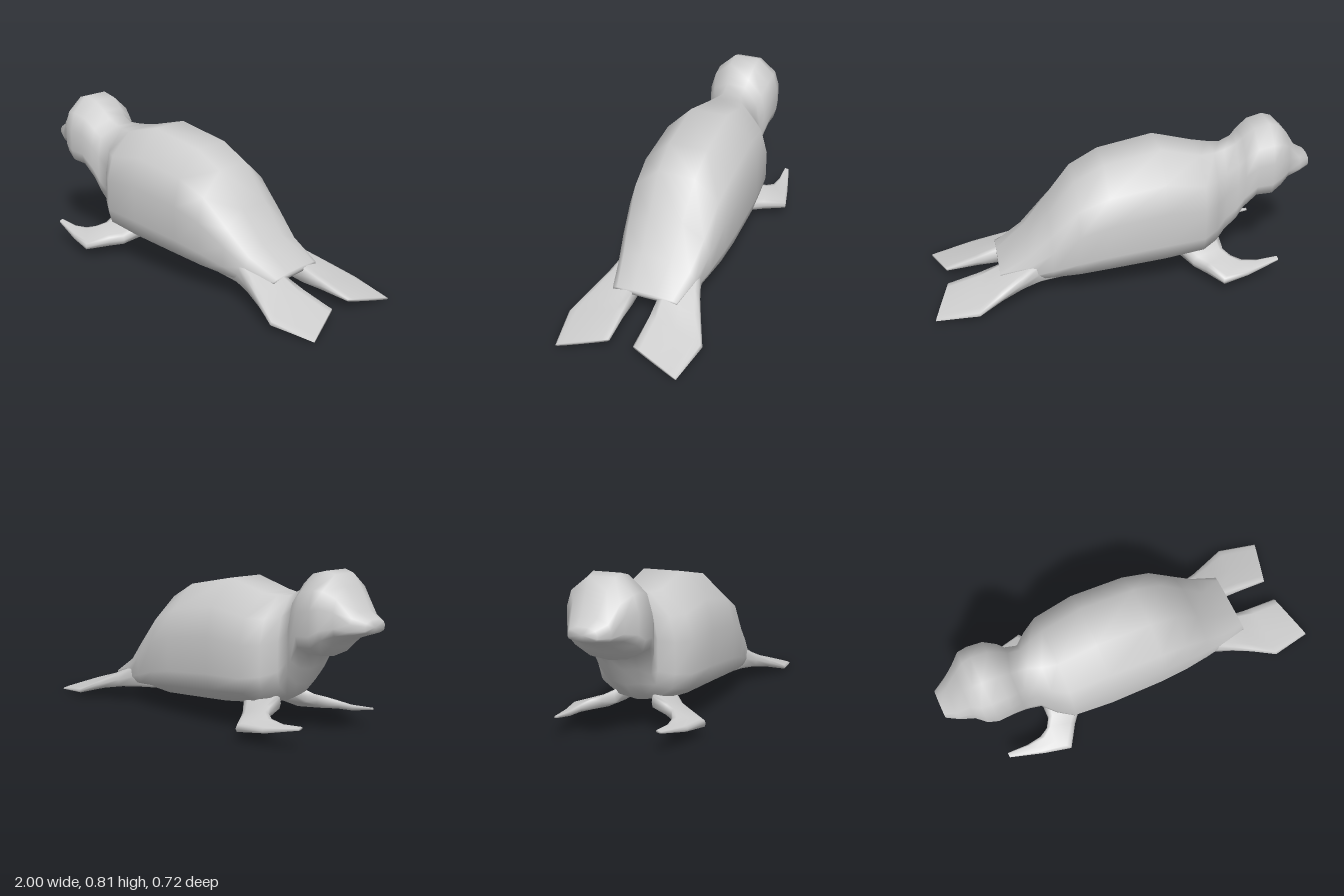
import * as THREE from 'three';

const coat = new THREE.MeshStandardMaterial({ color: 0xcccccc });
coat.name = 'grey coat';

// Skin a list of closed rings of Vector3 and close both ends smoothly
function loft(name, rings) {
  const n = rings[0].length;
  const points = rings.flat();
  const index = [];
  for (let i = 0; i < rings.length - 1; i++) {
    for (let j = 0; j < n; j++) {
      const a = i * n + j, b = i * n + (j + 1) % n;
      index.push(a, b, a + n, b, b + n, a + n);
    }
  }
  const cap = (row, flip) => {
    const mid = new THREE.Vector3();
    rings[row].forEach((p) => mid.addScaledVector(p, 1 / n));
    const center = points.push(mid) - 1;
    for (let j = 0; j < n; j++) {
      const a = row * n + j, b = row * n + (j + 1) % n;
      if (flip) index.push(center, b, a);
      else index.push(center, a, b);
    }
  };
  cap(0, true);
  cap(rings.length - 1, false);

  // Turn the faces outward when the enclosed volume comes out negative
  let volume = 0;
  const cross = new THREE.Vector3();
  for (let k = 0; k < index.length; k += 3) {
    cross.crossVectors(points[index[k + 1]], points[index[k + 2]]);
    volume += points[index[k]].dot(cross);
  }
  if (volume < 0) index.reverse();

  const geometry = new THREE.BufferGeometry().setFromPoints(points);
  geometry.setIndex(index);
  geometry.computeVertexNormals();
  const mesh = new THREE.Mesh(geometry, coat);
  mesh.name = name;
  return mesh;
}

// Half outline of the body section (side, up): flat back, full flanks, round belly
const halfOutline = [[0.37, 1], [0.86, 0.59], [1, 0.13], [1, -0.45], [0.92, -0.72], [0.5, -0.94]];
const outline = [...halfOutline, [0, -1], ...halfOutline.map(([s, u]) => [-s, u]).reverse()];

// Upright body section: x, bottom, top, half width
function bodyRing([x, bottom, top, width]) {
  const mid = (bottom + top) / 2, half = (top - bottom) / 2;
  return outline.map(([side, up]) => new THREE.Vector3(x, mid + half * up, width * side));
}

// Flipper section: from one edge point to the other, with a thickness at each
function flipperRing([edgeA, edgeB, thickA, thickB], side) {
  const a = new THREE.Vector3(...edgeA), b = new THREE.Vector3(...edgeB);
  const squared = (v) => Math.sign(v) * Math.sqrt(Math.abs(v));
  return Array.from({ length: 12 }, (_, j) => {
    const angle = (j / 12) * Math.PI * 2;
    const t = (1 + squared(Math.cos(angle))) / 2;
    const p = a.clone().lerp(b, t);
    p.y += (squared(Math.sin(angle)) * THREE.MathUtils.lerp(thickA, thickB, t)) / 2;
    p.z *= side;
    return p;
  });
}

// Snout, head, neck, trunk and the thin web between the hind flippers
const bodySections = [
  [-1.0, 0.545, 0.61, 0.072],
  [-0.94, 0.525, 0.64, 0.107],
  [-0.87, 0.495, 0.75, 0.137],
  [-0.82, 0.46, 0.8, 0.18],
  [-0.77, 0.412, 0.815, 0.187],
  [-0.69, 0.41, 0.795, 0.183],
  [-0.63, 0.33, 0.745, 0.162],
  [-0.6, 0.25, 0.71, 0.143],
  [-0.54, 0.18, 0.682, 0.138],
  [-0.48, 0.148, 0.678, 0.2],
  [-0.4, 0.13, 0.685, 0.257],
  [-0.19, 0.1, 0.74, 0.275],
  [0.1, 0.08, 0.685, 0.275],
  [0.25, 0.07, 0.605, 0.262],
  [0.39, 0.078, 0.43, 0.236],
  [0.51, 0.084, 0.28, 0.208],
  [0.655, 0.135, 0.163, 0.17],
];

const foreSections = [
  [[-0.53, 0.16, 0.1], [-0.28, 0.15, 0.1], 0.08, 0.08],
  [[-0.53, 0.13, 0.17], [-0.36, 0.095, 0.19], 0.07, 0.065],
  [[-0.56, 0.117, 0.215], [-0.41, 0.088, 0.25], 0.06, 0.065],
  [[-0.61, 0.108, 0.24], [-0.48, 0.072, 0.358], 0.045, 0.045],
  [[-0.69, 0.105, 0.25], [-0.62, 0.082, 0.325], 0.03, 0.03],
  [[-0.8, 0.12, 0.25], [-0.8, 0.115, 0.275], 0.012, 0.012],
];

const hindSections = [
  [[0.32, 0.19, 0.05], [0.32, 0.18, 0.21], 0.18, 0.15],
  [[0.45, 0.165, 0.055], [0.45, 0.155, 0.213], 0.16, 0.13],
  [[0.55, 0.14, 0.06], [0.55, 0.125, 0.248], 0.14, 0.085],
  [[0.655, 0.11, 0.06], [0.66, 0.088, 0.297], 0.11, 0.05],
  [[0.76, 0.09, 0.06], [0.78, 0.038, 0.352], 0.065, 0.028],
  [[0.92, 0.06, 0.06], [0.998, 0.01, 0.31], 0.015, 0.015],
];

export function createModel() {
  const model = new THREE.Group();
  model.name = 'seal';
  model.add(loft('body', bodySections.map(bodyRing)));

  // Paired flippers
  for (const [label, side] of [['left', 1], ['right', -1]]) {
    model.add(loft(label + 'ForeFlipper', foreSections.map((s) => flipperRing(s, side))));
    model.add(loft(label + 'HindFlipper', hindSections.map((s) => flipperRing(s, side))));
  }
  return model;
}
